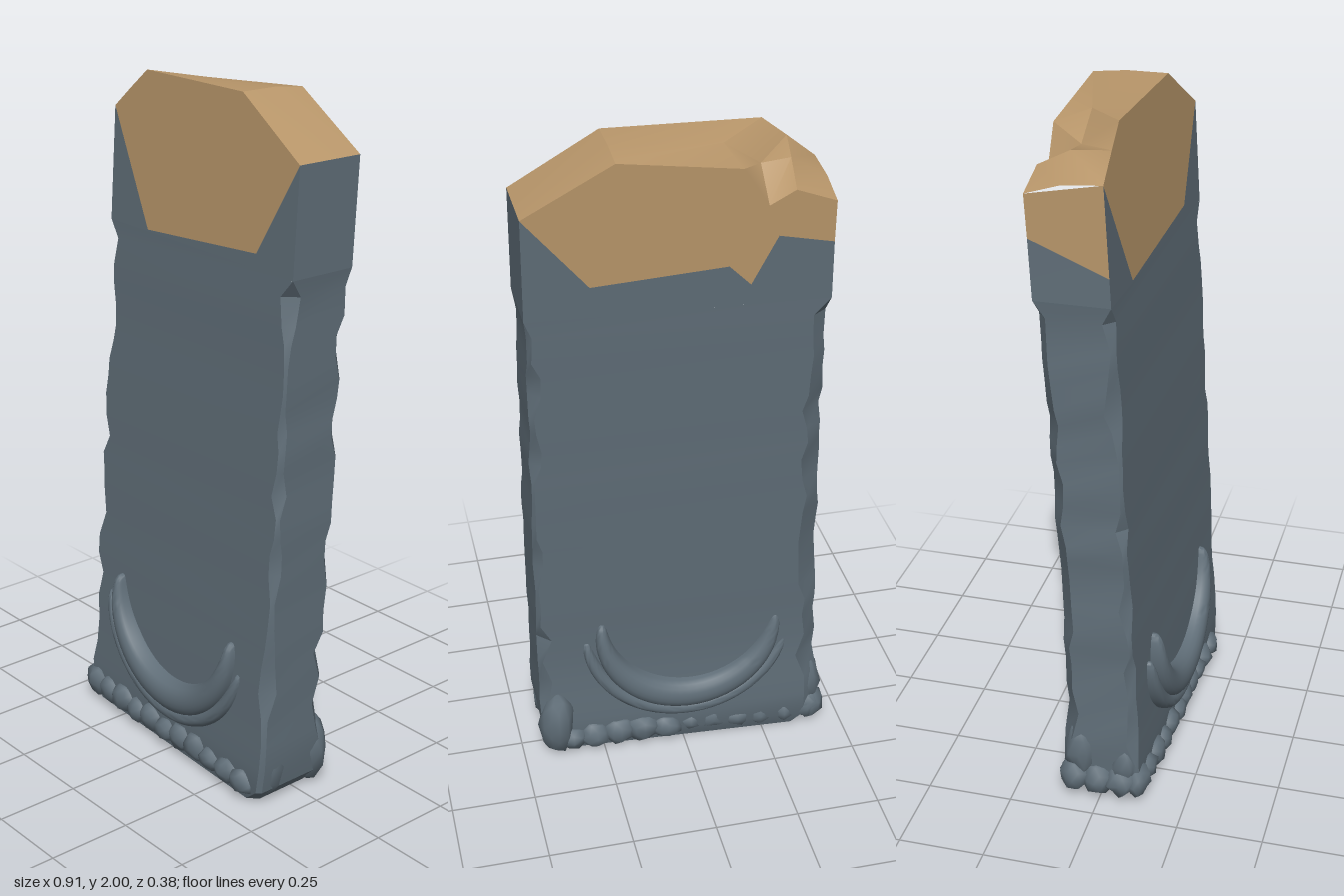
import * as THREE from 'three';
import { mergeVertices, toCreasedNormals } from 'three/addons/utils/BufferGeometryUtils.js';

const stone = new THREE.MeshStandardMaterial({ color: 0x5f6d77 });
stone.name = 'slate stone';
const tan = new THREE.MeshStandardMaterial({ color: 0xb8966a });
tan.name = 'tan broken stone';

// seeded random numbers
let seed = 11;
const rand = () => {
  seed = (seed * 16807) % 2147483647;
  return seed / 2147483647;
};

// The slab leans back and is turned slightly: depth of its two big faces
const frontZ = (x, y) => 0.145 + 0.053 * x - 0.0586 * y;
const backZ = (x, y) => frontZ(x, y) - 0.212;
const onFront = ([x, y]) => [x, y, frontZ(x, y)];
const onBack = ([x, y]) => [x, y, backZ(x, y)];

function build(points, index, crease) {
  let g = new THREE.BufferGeometry();
  g.setAttribute('position', new THREE.Float32BufferAttribute(points.flat(), 3));
  g.setIndex(index);
  g.computeVertexNormals();
  if (crease) g = toCreasedNormals(g, crease);
  return g;
}

// Surface through rows of points
function skin(rows, { closed = false, cap = false, crease = 0.6 } = {}) {
  const n = rows[0].length, index = [];
  for (let r = 0; r < rows.length - 1; r++) {
    for (let i = 0; i < (closed ? n : n - 1); i++) {
      const a = r * n + i, b = r * n + (i + 1) % n;
      index.push(a, b, b + n, a, b + n, a + n);
    }
  }
  if (cap) for (let i = 1; i < n - 1; i++) index.push(0, i + 1, i);
  return build(rows.flat(), index, crease);
}

// Flat polygon lying on the front or back face
function panel(outline, back) {
  const flat = outline.map(([x, y]) => new THREE.Vector2(x, y));
  const index = [];
  for (const [a, b, c] of THREE.ShapeUtils.triangulateShape(flat, [])) {
    const ccw = THREE.ShapeUtils.area([flat[a], flat[b], flat[c]]) > 0;
    index.push(...(ccw !== back ? [a, b, c] : [a, c, b]));
  }
  return build(outline.map(back ? onBack : onFront), index);
}

// Lower slab: stacked cross-sections with randomly chipped corners
function slabGeometry() {
  const levels = [0.005, 0.05, 0.13, 0.2, 0.28, 0.36, 0.44, 0.5, 0.56, 0.64, 0.72, 0.78, 0.83, 0.89,
    0.95, 1.02, 1.08, 1.13, 1.19, 1.24, 1.31, 1.37, 1.42, 1.5, 1.55];
  const rows = levels.map((y, k) => {
    const top = k === levels.length - 1;
    const chip = () => top ? 0.0005 : rand() < 0.6 ? 0.006 + 0.008 * rand() : 0.018 + 0.022 * rand();
    const inset = k === 0 ? 0.05 : k === 1 ? 0.01 : 0;
    const nick = () => (top ? 0 : 0.012 * rand());
    const l = -0.383 - 0.05 * Math.pow(Math.max(0, 1 - y / 1.55), 1.4) + inset + nick();
    const r = 0.446 + inset * -1 - nick() * 0.7;
    const flare = 0.035 * Math.max(0, 1 - y / 0.32);
    const [a, b, c] = [chip(), chip(), chip()];
    const d = top ? 0.0005 : 0.03 + chip();
    const f = (x) => frontZ(x, y) - inset * 0.3;
    const bk = (x) => backZ(x, y) - flare + inset * 0.5;
    return [
      [l + a, y, f(l)], [r - b, y, f(r)],
      [r, y, f(r) - b], [r, y, bk(r) + c],
      [r - c, y, bk(r)], [l + d, y, bk(l)],
      [l, y, bk(l) + d * 0.7], [l, y, f(l) - a],
    ];
  });
  return skin(rows, { closed: true, cap: true, crease: 0.5 });
}

// Domed crescent band hanging below its centre
function crescentGeometry(cx, cy, inner, width, height, from, to) {
  const rows = [];
  for (let i = 0; i <= 48; i++) {
    const t = (1 - Math.cos(Math.PI * i / 48)) / 2;
    const a = THREE.MathUtils.degToRad(from + (to - from) * t);
    const end = Math.pow(Math.max(0, Math.sin(Math.PI * t)), 0.3);
    const w = width(t), mid = inner + w / 2, row = [];
    for (let j = 0; j <= 10; j++) {
      const s = Math.PI * j / 10;
      const r = mid - Math.cos(s) * w / 2 * end;
      row.push([cx + r * Math.cos(a), cy + r * Math.sin(a), height * end * Math.pow(Math.abs(Math.sin(s)), 0.6)]);
    }
    rows.push(row);
  }
  return skin(rows, { crease: 0.9 });
}

// Lumpy rubble stone
function rockGeometry(sx, sy, sz) {
  let g = new THREE.IcosahedronGeometry(1, 1);
  g.deleteAttribute('normal');
  g.deleteAttribute('uv');
  g = mergeVertices(g);
  const p = g.attributes.position;
  for (let i = 0; i < p.count; i++) {
    const k = 0.8 + 0.25 * rand();
    p.setXYZ(i, p.getX(i) * k * sx, p.getY(i) * k * sy, p.getZ(i) * k * sz);
  }
  g.computeVertexNormals();
  return g;
}

export function createModel() {
  seed = 11;
  const model = new THREE.Group();
  const add = (name, geometry, material, parent = model) => {
    const mesh = new THREE.Mesh(geometry, material);
    mesh.name = name;
    parent.add(mesh);
    return mesh;
  };

  add('slab', slabGeometry(), stone);

  // Upper faces: grey stone meets the broken tan top along jagged lines
  const bl = [-0.383, 1.55], br = [0.446, 1.55];
  const frontTop = [[-0.38, 1.88], [-0.3, 1.945], [-0.23, 2], [-0.1, 2], [0.2, 2], [0.446, 1.85]];
  const backTop = [[-0.38, 1.84], [-0.27, 1.88], [-0.2, 1.84], [-0.13, 1.95], [0.2, 1.99], [0.446, 1.85]];
  const midTop = [[-0.38, 1.87], [-0.28, 1.93], [-0.2, 1.92], [-0.1, 1.985], [0.2, 2], [0.446, 1.85]];
  const frontBreak = [[0.29, 1.59], [-0.2, 1.555]];
  const backBreak = [[0.27, 1.64], [-0.1, 1.67], [-0.16, 1.61], [-0.23, 1.75], [-0.38, 1.72]];
  add('upperFront', panel([bl, br, frontTop[5], ...frontBreak, frontTop[0]], false), stone);
  add('upperBack', panel([bl, br, backTop[5], ...backBreak], true), stone);
  add('brokenFront', panel([...frontTop, ...frontBreak], false), tan);
  add('brokenBack', panel([...backTop, ...backBreak], true), tan);

  // Upper sides
  const leftFront = [-0.38, 1.63], leftBack = [-0.38, 1.72];
  add('upperLeftSide', skin([[onFront(br), onBack(br)], [onFront(frontTop[5]), onBack(backTop[5])]]), stone);
  add('upperRightSide', skin([[onBack(bl), onFront(bl)], [onBack(leftBack), onFront(leftFront)]]), stone);
  add('brokenRightSide', skin([[onBack(leftBack), onFront(leftFront)],
    [onBack(backTop[0]), onFront(frontTop[0])]]), tan);

  // Broken top with a scoop at the back
  const middle = midTop.map(([x, y]) => [x, y, frontZ(x, y) - 0.115]);
  add('brokenTop', skin([frontTop.map(onFront), middle, backTop.map(onBack)], { crease: 0.5 }), tan);

  // Crescent reliefs on both faces
  const crescent = crescentGeometry(0.015, 0.48, 0.235, (t) => 0.06 + 0.04 * Math.sin(Math.PI * t), 0.062, 179, 357);
  const rim = crescentGeometry(0.012, 0.45, 0.285, () => 0.055, 0.045, 186, 347);
  for (const [name, z, turn] of [['frontRelief', 0.122, -0.03], ['backRelief', -0.074, Math.PI - 0.03]]) {
    const relief = new THREE.Group();
    relief.name = name;
    relief.position.z = z;
    relief.rotation.y = turn;
    add('crescent', crescent, stone, relief);
    add('crescentRim', rim, stone, relief);
    model.add(relief);
  }

  // Rubble along the foot, front and back
  const rubble = new THREE.Group();
  rubble.name = 'rubble';
  model.add(rubble);
  const rock = (x, y, z, sx, sy, sz) => add('rock', rockGeometry(sx, sy, sz), stone, rubble).position.set(x, y, z);
  for (let i = 0; i < 11; i++) {
    const x = -0.39 + i * 0.074;
    const s = 0.042 + 0.014 * rand();
    rock(x, s + 0.012, frontZ(x, 0) - 0.018, s * 1.1, s, 0.042);
    const h = 0.042 + 0.014 * rand();
    rock(x, h + 0.012, backZ(x, 0) + (x > 0 ? -0.015 : 0.005), h * 1.1, h, 0.045);
  }
  for (const z of [-0.075, -0.01, 0.06]) rock(-0.405, 0.065, z, 0.052, 0.055, 0.055);

  // Larger boulders at the corners
  rock(0.395, 0.12, -0.06, 0.058, 0.12, 0.06);
  rock(0.395, 0.11, 0.11, 0.055, 0.105, 0.055);
  rock(-0.39, 0.15, -0.06, 0.055, 0.1, 0.055);
  rock(-0.39, 0.12, 0.07, 0.05, 0.08, 0.05);
  return model;
}
